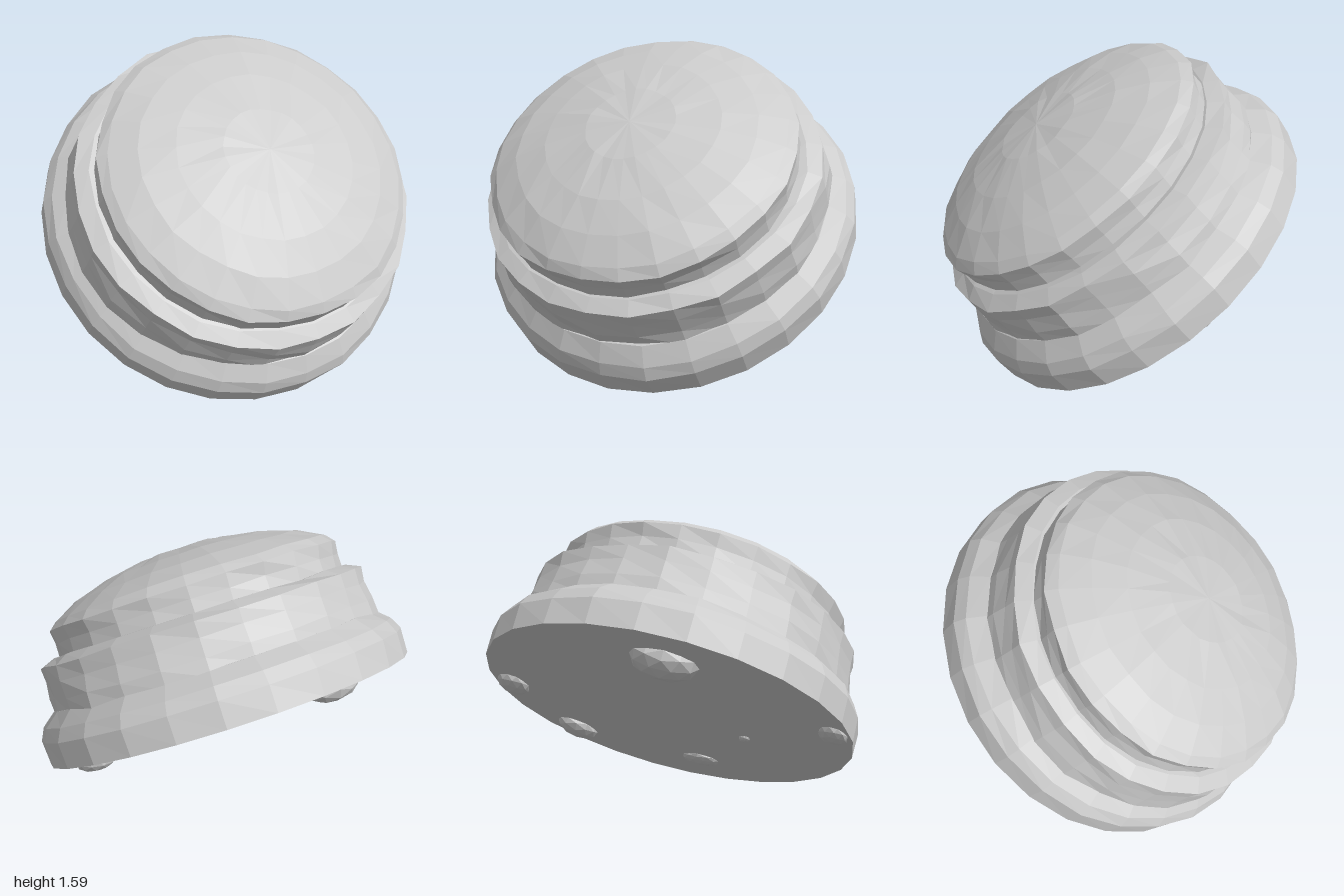
import * as THREE from 'three';

const SIDES = 26;

// Repeatable value in -1..1 for a pair of indices
function noise(i, j) {
  const s = Math.sin(i * 127.1 + j * 311.7 + 5.3) * 43758.5453;
  return (s - Math.floor(s)) * 2 - 1;
}

// Turned shape with hand-worn, slightly irregular facets
function wornLathe(name, profile, material, wear, seed) {
  const points = profile.map(([r, y]) => new THREE.Vector2(r, y));
  const geo = new THREE.LatheGeometry(points, SIDES);
  const pos = geo.attributes.position;
  for (let k = 0; k < pos.count; k++) {
    const ring = k % profile.length;
    const side = Math.floor(k / profile.length) % SIDES;
    const [r, y] = profile[ring];
    if (r < 0.01 || y <= 0) continue;
    const f = 1 + wear * noise(side + seed, ring);
    pos.setXYZ(k, pos.getX(k) * f, y + wear * 0.5 * noise(side, ring + seed), pos.getZ(k) * f);
  }
  geo.computeVertexNormals();
  const mesh = new THREE.Mesh(geo, material);
  mesh.name = name;
  return mesh;
}

export function createModel() {
  const model = new THREE.Group();
  model.name = 'tiltedButton';
  const mat = new THREE.MeshStandardMaterial({ color: 0xcccccc, flatShading: true });

  // The whole stack leans forward, resting on its front rim
  const stack = new THREE.Group();
  stack.name = 'stack';
  stack.position.set(0, 0.575, -0.11);
  stack.rotation.x = 0.617;
  model.add(stack);

  // Wide foot with flat underside and bevelled shoulder
  stack.add(wornLathe('baseRing', [
    [0, 0], [0.993, 0], [0.998, 0.135], [0.965, 0.2], [0.885, 0.27], [0.8, 0.275],
  ], mat, 0.006, 3));

  // Straight middle tier with a flat ledge on top
  const tier = wornLathe('middleTier', [
    [0.885, 0.24], [0.88, 0.33], [0.872, 0.42], [0.875, 0.5], [0.8, 0.533], [0.7, 0.535],
  ], mat, 0.012, 11);
  tier.position.x = -0.01;
  tier.scale.x = 1.02;
  stack.add(tier);

  // Domed cap
  const cap = wornLathe('domedCap', [
    [0.785, 0.52], [0.785, 0.6], [0.8, 0.67], [0.755, 0.712], [0.62, 0.78],
    [0.45, 0.832], [0.23, 0.875], [0, 0.888],
  ], mat, 0.009, 23);
  cap.position.x = -0.015;
  stack.add(cap);

  // Rough lumps under the foot: x, z, radius, depth
  const lumps = [
    [-0.26, -0.66, 0.17, 0.09], [-0.9, 0.05, 0.1, 0.04], [0.86, -0.2, 0.12, 0.05],
    [0.74, 0.37, 0.13, 0.06], [0.06, 0.68, 0.11, 0.03], [-0.36, 0.25, 0.04, 0.02],
  ];
  for (const [x, z, r, depth] of lumps) {
    const lump = new THREE.Mesh(new THREE.IcosahedronGeometry(1, 1), mat);
    lump.name = 'undersideLump';
    lump.scale.set(r, depth, r * 0.75);
    lump.position.set(x, 0, z);
    lump.rotation.y = Math.atan2(x, z);
    stack.add(lump);
  }
  return model;
}
